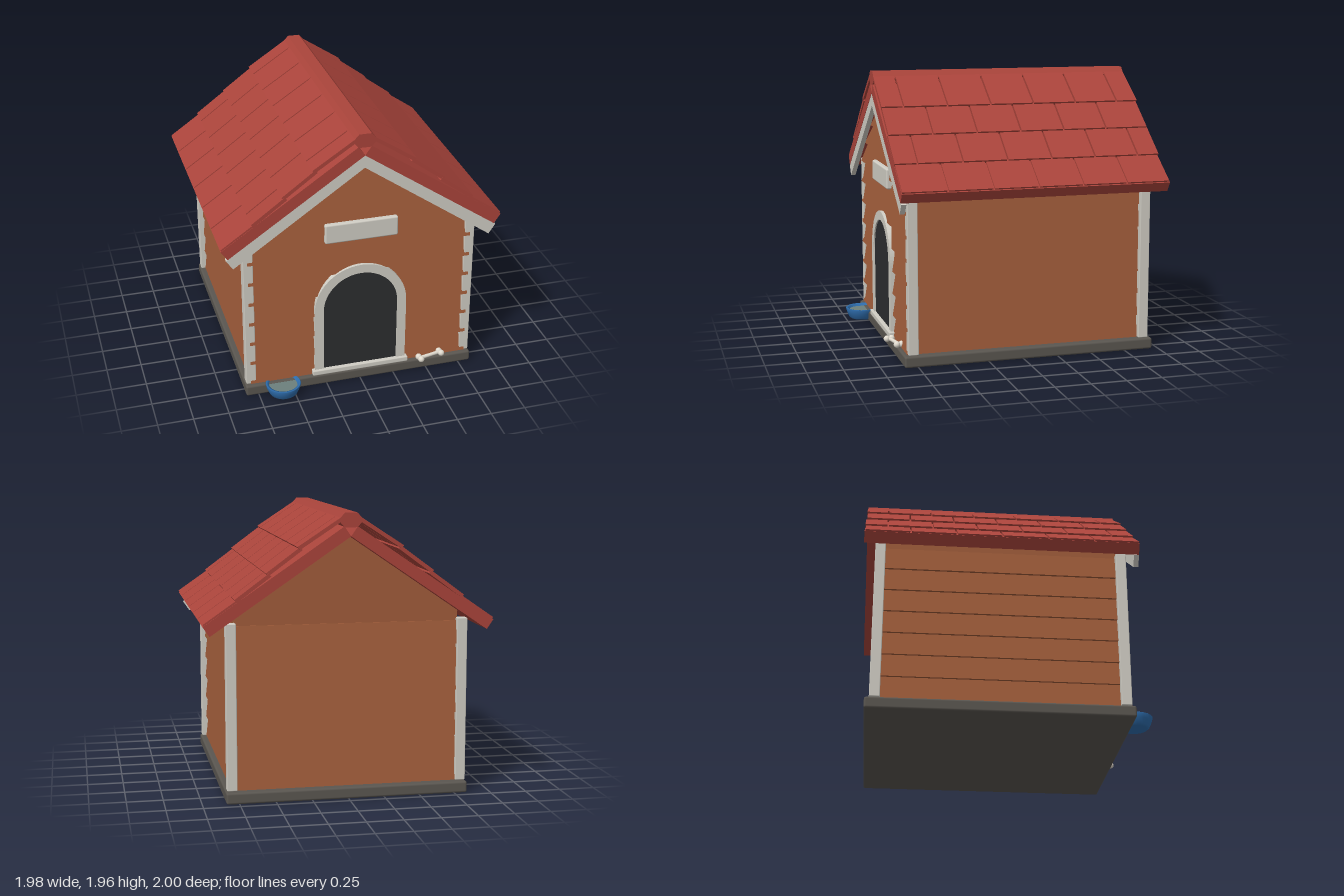
import * as THREE from 'three';
import { RoundedBoxGeometry } from 'three/addons/geometries/RoundedBoxGeometry.js';

const mat = (color, extra = {}) => new THREE.MeshStandardMaterial({ color, ...extra });
const WOOD = mat(0xa05c3a), TRIM = mat(0xd0cdc4), ROOF = mat(0xaa443b), BASE = mat(0x5a5650);
const DARK = mat(0x2c2d2f), BLUE = mat(0x2f6fb0, { side: THREE.DoubleSide }), FOOD = mat(0x6c807c), BONE = mat(0xe0dace);

const ROOF_BACK = -1, ROOF_FRONT = 0.887;
const SLOPE = 0.683, APEX = 1.8; // underside of the roof
const roofY = (x) => APEX - SLOPE * x;

function add(parent, name, geo, material, x = 0, y = 0, z = 0) {
  const m = new THREE.Mesh(geo, material);
  m.name = name;
  m.position.set(x, y, z);
  parent.add(m);
  return m;
}

// Closed outline in x,y pushed along z from z0 to z1
function slab(points, z0, z1) {
  const shape = points instanceof THREE.Shape ? points
    : new THREE.Shape(points.map(([x, y]) => new THREE.Vector2(x, y)));
  const g = new THREE.ExtrudeGeometry(shape, { depth: z1 - z0, bevelEnabled: false, curveSegments: 24 });
  return g.translate(0, 0, z0);
}

// Lapped board facing +z: its lower edge stands out further than its top
function board(bottomHalf, topHalf, height, lipOut, topOut) {
  const g = new THREE.BoxGeometry(2, height, 1);
  const p = g.attributes.position;
  for (let i = 0; i < p.count; i++) {
    const low = p.getY(i) < 0;
    p.setX(i, p.getX(i) * (low ? bottomHalf : topHalf));
    p.setZ(i, p.getZ(i) < 0 ? -0.02 : low ? lipOut : topOut);
  }
  g.computeVertexNormals();
  return g;
}

function archShape(half, bottom, spring, Type = THREE.Shape) {
  const s = new Type();
  s.moveTo(-half, bottom);
  s.lineTo(half, bottom);
  s.lineTo(half, spring);
  s.absarc(0, spring, half, 0, Math.PI, false);
  s.closePath();
  return s;
}

function buildWalls(house) {
  const w = 0.77;
  add(house, 'wallCore', slab([[-w, 0.08], [w, 0.08], [w, roofY(w)], [0, APEX], [-w, roofY(w)]], -0.88, 0.775), WOOD);

  const step = 0.16, start = 0.085;
  const halfAt = (y) => Math.max(0.005, Math.min(0.8, (APEX - y) / SLOPE));
  const siding = new THREE.Group();
  siding.name = 'siding';
  house.add(siding);
  for (let i = 0; i < 11; i++) {
    const y0 = start + i * step, y1 = Math.min(y0 + step, APEX - 0.01), h = y1 - y0;
    const yc = (y0 + y1) / 2;
    add(siding, 'frontBoard', board(halfAt(y0), halfAt(y1), h, 0.047, 0.02), WOOD, 0, yc, 0.775);
    if (i > 6) continue;
    const back = add(siding, 'backBoard', board(0.77, 0.77, h, 0.03, 0.008), WOOD, 0, yc, -0.88);
    back.rotation.y = Math.PI;
    for (const s of [-1, 1]) {
      const side = add(siding, 'sideBoard', board(0.82, 0.82, h, 0.03, 0.012), WOOD, s * w, yc, -0.053);
      side.rotation.y = s * Math.PI / 2;
    }
  }
  for (const s of [-1, 1]) for (const z of [0.782, -0.888]) {
    add(house, 'cornerPost', new RoundedBoxGeometry(0.072, 1.14, 0.072, 1, 0.006), TRIM, s * 0.796, 0.655, z);
  }
}

function buildDoor(house) {
  add(house, 'doorway', slab(archShape(0.275, 0.1, 0.605), 0.78, 0.826), DARK);
  const frame = archShape(0.335, 0.1, 0.605);
  frame.holes.push(archShape(0.27, 0.11, 0.605, THREE.Path));
  add(house, 'doorFrame', slab(frame, 0.78, 0.836), TRIM);
  add(house, 'doorSill', new RoundedBoxGeometry(0.71, 0.04, 0.09, 1, 0.008), TRIM, 0, 0.107, 0.81);
  add(house, 'signPlate', new RoundedBoxGeometry(0.52, 0.145, 0.05, 2, 0.012), TRIM, 0, 1.212, 0.815);
}

function buildRoof(house) {
  const roof = new THREE.Group();
  roof.name = 'roof';
  house.add(roof);
  // Lower outer corner of each shingle row, ending at the ridge
  const rows = [[0.99, 1.235], [0.78, 1.395], [0.57, 1.565], [0.36, 1.735], [0.07, 1.94]];
  const pitch = 0.315, gap = 0.012, thick = 0.026;
  for (const s of [-1, 1]) {
    const flip = (pts) => pts.map(([x, y]) => [s * x, y]);
    add(roof, 'roofPanel', slab(flip([[0, APEX], [0.945, 1.155], [0.99, 1.221], [0.045, 1.866]]), ROOF_BACK, ROOF_FRONT), ROOF);
    add(roof, 'bargeBoard', slab(flip([[0, 1.71], [0.91, 1.077], [0.957, 1.147], [0, APEX]]), 0.85, ROOF_FRONT - 0.002), TRIM);
    for (let r = 0; r < 4; r++) {
      const [x0, y0] = rows[r], [x1, y1] = rows[r + 1];
      const d = new THREE.Vector2(x1 - x0, y1 - y0).normalize();
      const nx = d.y * thick, ny = -d.x * thick;
      // The top end tucks under the next row
      const tx = x1 + d.x * 0.015 - nx * 0.5, ty = y1 + d.y * 0.015 - ny * 0.5;
      const outline = flip([[x0, y0], [tx, ty], [tx - nx, ty - ny], [x0 - nx, y0 - ny]]);
      const first = -0.055 - pitch * (r % 2 ? 3.5 : 4);
      for (let k = 0; k < 9; k++) {
        const a = Math.max(ROOF_BACK, first + k * pitch + gap / 2);
        const b = Math.min(ROOF_FRONT, first + (k + 1) * pitch - gap / 2);
        if (b - a > 0.02) add(roof, 'shingle', slab(outline, a, b), ROOF);
      }
    }
  }
  const cap = [];
  for (let i = 0; i < 6; i++) {
    const a = i * Math.PI / 3;
    cap.push([0.086 * Math.cos(a), 1.908 + 0.056 * Math.sin(a)]);
  }
  add(roof, 'ridgeCap', slab(cap, ROOF_BACK, ROOF_FRONT), ROOF);
}

function buildBowl(parent) {
  const bowl = new THREE.Group();
  bowl.name = 'bowl';
  bowl.position.set(-0.58, 0.008, 0.875);
  parent.add(bowl);
  const profile = [[0, 0], [0.085, 0], [0.1, 0.012], [0.117, 0.05], [0.125, 0.08], [0.12, 0.084], [0.104, 0.08], [0.096, 0.05], [0.08, 0.03], [0, 0.03]];
  add(bowl, 'bowlShell', new THREE.LatheGeometry(profile.map(([x, y]) => new THREE.Vector2(x, y)), 32), BLUE);
  add(bowl, 'bowlFilling', new THREE.CylinderGeometry(0.1, 0.09, 0.03, 32), FOOD, 0, 0.05, 0);
}

function buildBone(parent) {
  const bone = new THREE.Group();
  bone.name = 'bone';
  bone.position.set(0.525, 0.109, 0.853);
  bone.rotation.y = 0.22;
  parent.add(bone);
  const shaft = add(bone, 'boneShaft', new THREE.CylinderGeometry(0.013, 0.013, 0.17, 12), BONE);
  shaft.rotation.z = Math.PI / 2;
  for (const sx of [-1, 1]) for (const sz of [-1, 1]) {
    add(bone, 'boneKnob', new THREE.SphereGeometry(0.023, 16, 12), BONE, sx * 0.085, 0, sz * 0.018);
  }
}

export function createModel() {
  const house = new THREE.Group();
  house.name = 'dogHouse';
  add(house, 'base', new RoundedBoxGeometry(1.68, 0.08, 1.8, 2, 0.015), BASE, 0, 0.04, -0.055);
  buildWalls(house);
  buildDoor(house);
  buildRoof(house);
  buildBowl(house);
  buildBone(house);
  return house;
}
